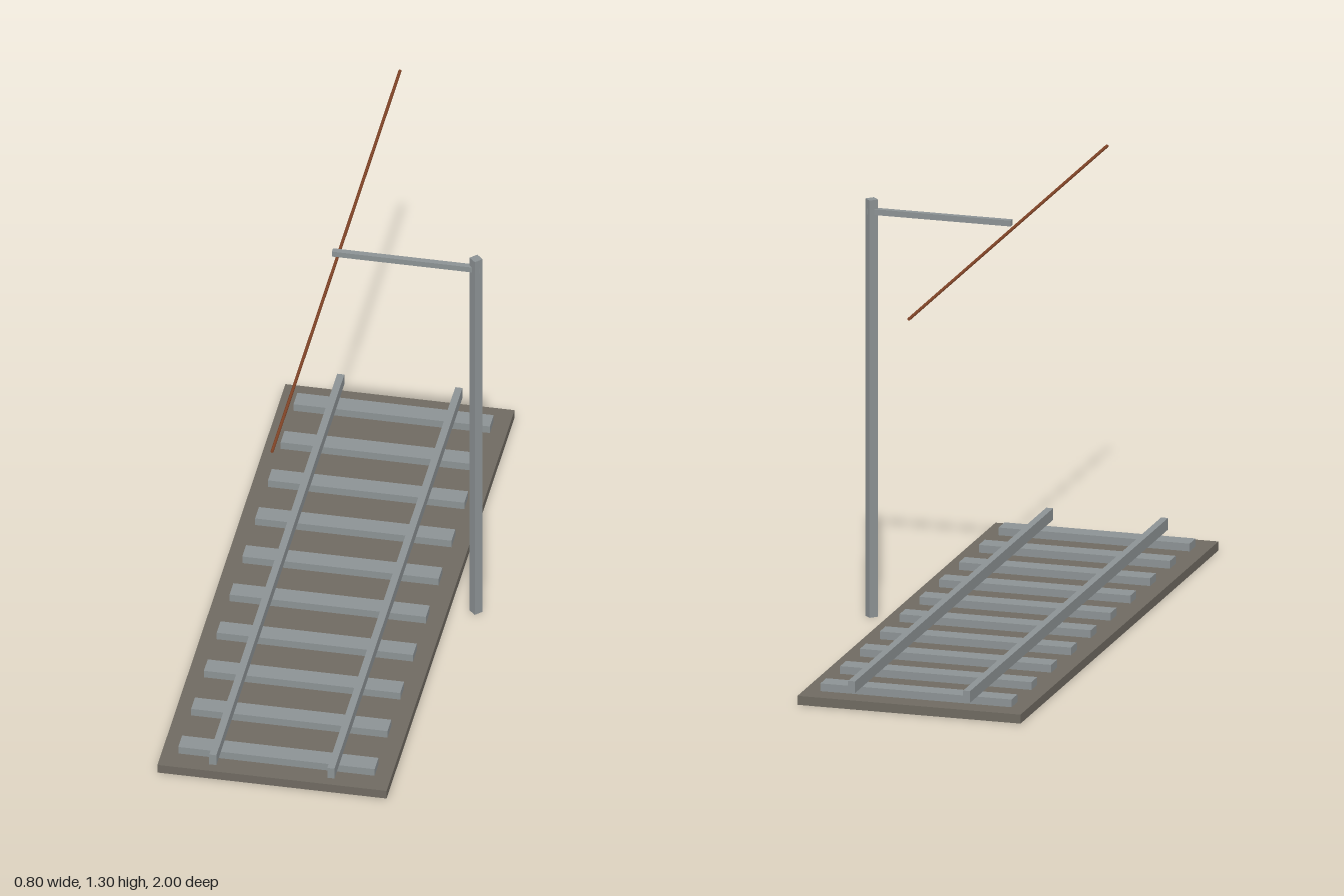
import * as THREE from 'three';

const material = (name, color) => {
  const m = new THREE.MeshStandardMaterial({ color });
  m.name = name;
  return m;
};

export function createModel() {
  const model = new THREE.Group();
  model.name = 'railwayTrack';
  const gravel = material('gravelBrown', 0x6f6a61);
  const grey = material('steelGrey', 0x8c9294);
  const copper = material('copperBrown', 0x844628);

  const add = (name, geometry, mat, x, y, z) => {
    const mesh = new THREE.Mesh(geometry, mat);
    mesh.name = name;
    mesh.position.set(x, y, z);
    model.add(mesh);
    return mesh;
  };
  // Box given by its lower and upper limits in x and y
  const slab = (name, mat, x0, x1, y0, y1, depth, z = 0) =>
    add(name, new THREE.BoxGeometry(x1 - x0, y1 - y0, depth), mat, (x0 + x1) / 2, (y0 + y1) / 2, z);

  // Track bed
  slab('ballast', gravel, -0.399, 0.301, 0, 0.028, 2);

  // Ten sleepers, evenly spaced
  for (let i = 0; i < 10; i++) {
    slab('sleeper', grey, -0.349, 0.251, 0.028, 0.052, 0.06, -0.9 + i * 0.2);
  }

  // Pair of rails
  for (const x of [-0.23, 0.131]) {
    slab('rail', grey, x - 0.011, x + 0.011, 0.052, 0.088, 2);
  }

  // Four-sided mast standing beside the bed, corners facing the axes
  const mast = new THREE.CylinderGeometry(0.02, 0.02, 1.3, 4).toNonIndexed();
  mast.computeVertexNormals();
  add('mast', mast, grey, 0.379, 0.65, 0);

  // Arm reaching over the track, just piercing the mast
  slab('mastArm', grey, -0.06, 0.391, 1.253, 1.271, 0.018);

  // Overhead wire along the track
  const wire = new THREE.CylinderGeometry(0.005, 0.005, 2, 6).rotateX(Math.PI / 2);
  add('overheadWire', wire, copper, -0.049, 1.231, 0);

  return model;
}
